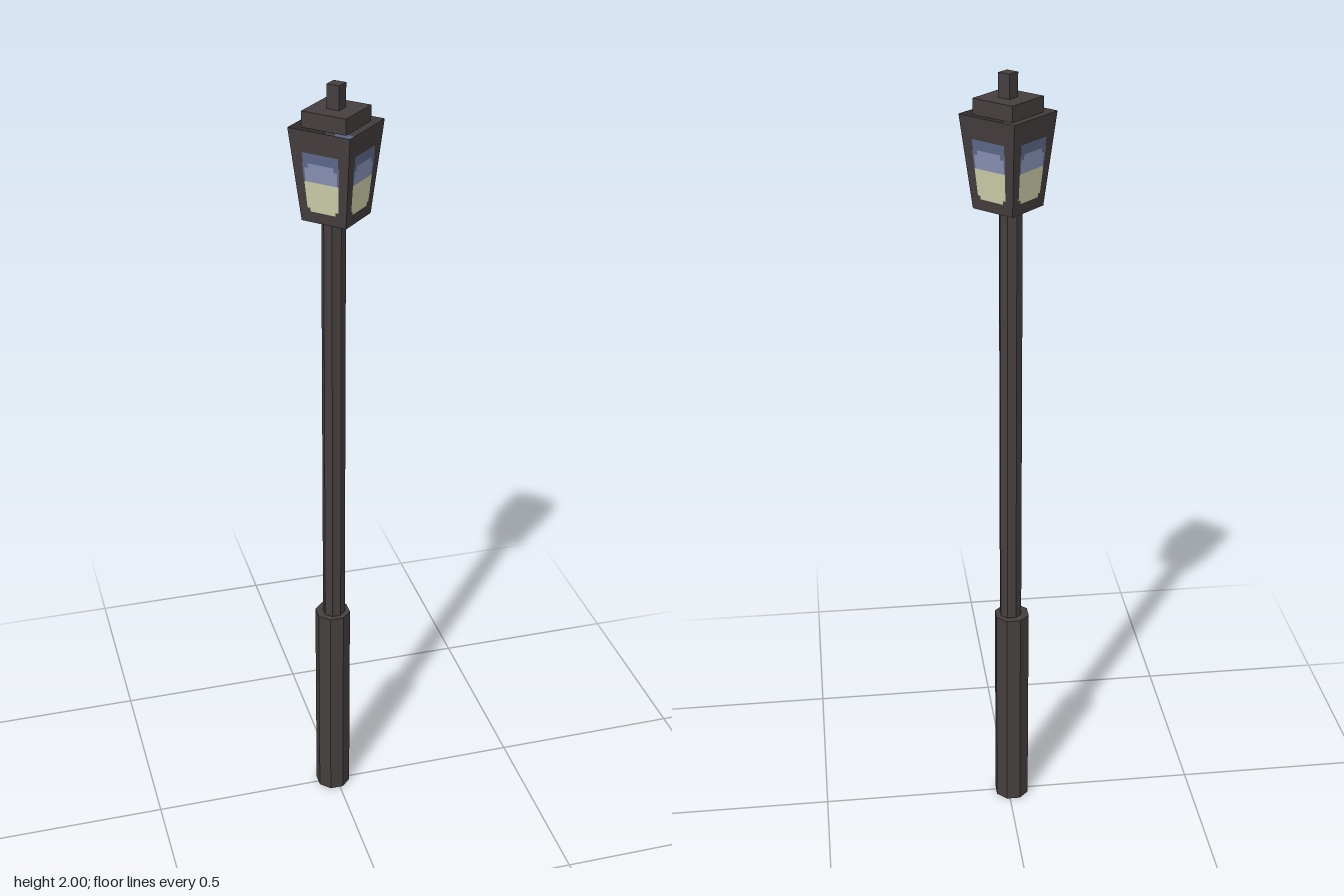
import * as THREE from 'three';

const mat = (name, color, side = THREE.FrontSide) => {
  const m = new THREE.MeshStandardMaterial({ color, side, flatShading: true });
  m.name = name;
  return m;
};

export function createModel() {
  const group = new THREE.Group();
  const metal = mat('dark iron', 0x453e3e, THREE.DoubleSide);
  const mats = {
    metal,
    glow: mat('warm glass', 0xcfcfaa, THREE.DoubleSide),
    blue: mat('pale blue glass', 0x8993b8, THREE.DoubleSide),
    slate: mat('slate blue glass', 0x5f6a8c, THREE.DoubleSide),
  };

  // Upright prism between two heights
  const prism = (name, r, y0, y1, sides, x = 0, z = 0, turn = 0) => {
    const mesh = new THREE.Mesh(new THREE.CylinderGeometry(r, r, y1 - y0, sides), metal);
    mesh.name = name;
    mesh.position.set(x, (y0 + y1) / 2, z);
    mesh.rotation.y = turn;
    group.add(mesh);
  };
  prism('base', 0.046, 0, 0.572, 8, -0.009, -0.004, Math.PI / 8);
  prism('pole', 0.029, 0.572, 1.69, 8, -0.006, -0.002, Math.PI / 8);
  prism('lanternFloor', 0.083, 1.683, 1.69, 4);
  prism('cap', 0.082, 1.905, 1.943, 4);
  prism('finial', 0.023, 1.943, 2, 4);

  // Lantern walls: rows of [bottom, top, bands from the centre outwards],
  // each band being [colour, half width as a fraction of the wall]
  const rows = [
    [0, 0.12, [['metal', 1]]],
    [0.12, 0.16, [['glow', 0.54], ['metal', 1]]],
    [0.16, 0.45, [['glow', 0.65], ['metal', 1]]],
    [0.45, 0.6, [['blue', 0.6], ['slate', 0.66], ['metal', 1]]],
    [0.6, 0.65, [['blue', 0.46], ['slate', 0.66], ['metal', 1]]],
    [0.65, 0.76, [['slate', 0.62], ['metal', 1]]],
    [0.76, 1, [['metal', 1]]],
  ];
  const Y0 = 1.683, Y1 = 1.908, R0 = 0.083, R1 = 0.114;
  const faces = { metal: [], glow: [], blue: [], slate: [] };

  for (let side = 0; side < 4; side++) {
    const a = (side * Math.PI) / 2, b = a + Math.PI / 2;
    // Point on a wall: u runs -1..1 across, v runs 0..1 up
    const point = (u, v) => {
      const r = R0 + (R1 - R0) * v, t = (u + 1) / 2;
      return [
        r * (Math.sin(a) * (1 - t) + Math.sin(b) * t),
        Y0 + (Y1 - Y0) * v,
        r * (Math.cos(a) * (1 - t) + Math.cos(b) * t),
      ];
    };
    const quad = (key, u0, u1, v0, v1) => {
      const p = point(u0, v0), q = point(u1, v0), r = point(u1, v1), s = point(u0, v1);
      faces[key].push(...p, ...q, ...r, ...p, ...r, ...s);
    };
    for (const [v0, v1, bands] of rows) {
      let inner = 0;
      for (const [key, outer] of bands) {
        quad(key, inner, outer, v0, v1);
        quad(key, -outer, -inner, v0, v1);
        inner = outer;
      }
    }
  }

  const names = { metal: 'lanternFrame', glow: 'lowerGlass', blue: 'middleGlass', slate: 'upperGlass' };
  for (const key in faces) {
    const g = new THREE.BufferGeometry();
    g.setAttribute('position', new THREE.Float32BufferAttribute(faces[key], 3));
    g.computeVertexNormals();
    const mesh = new THREE.Mesh(g, mats[key]);
    mesh.name = names[key];
    group.add(mesh);
  }
  return group;
}
